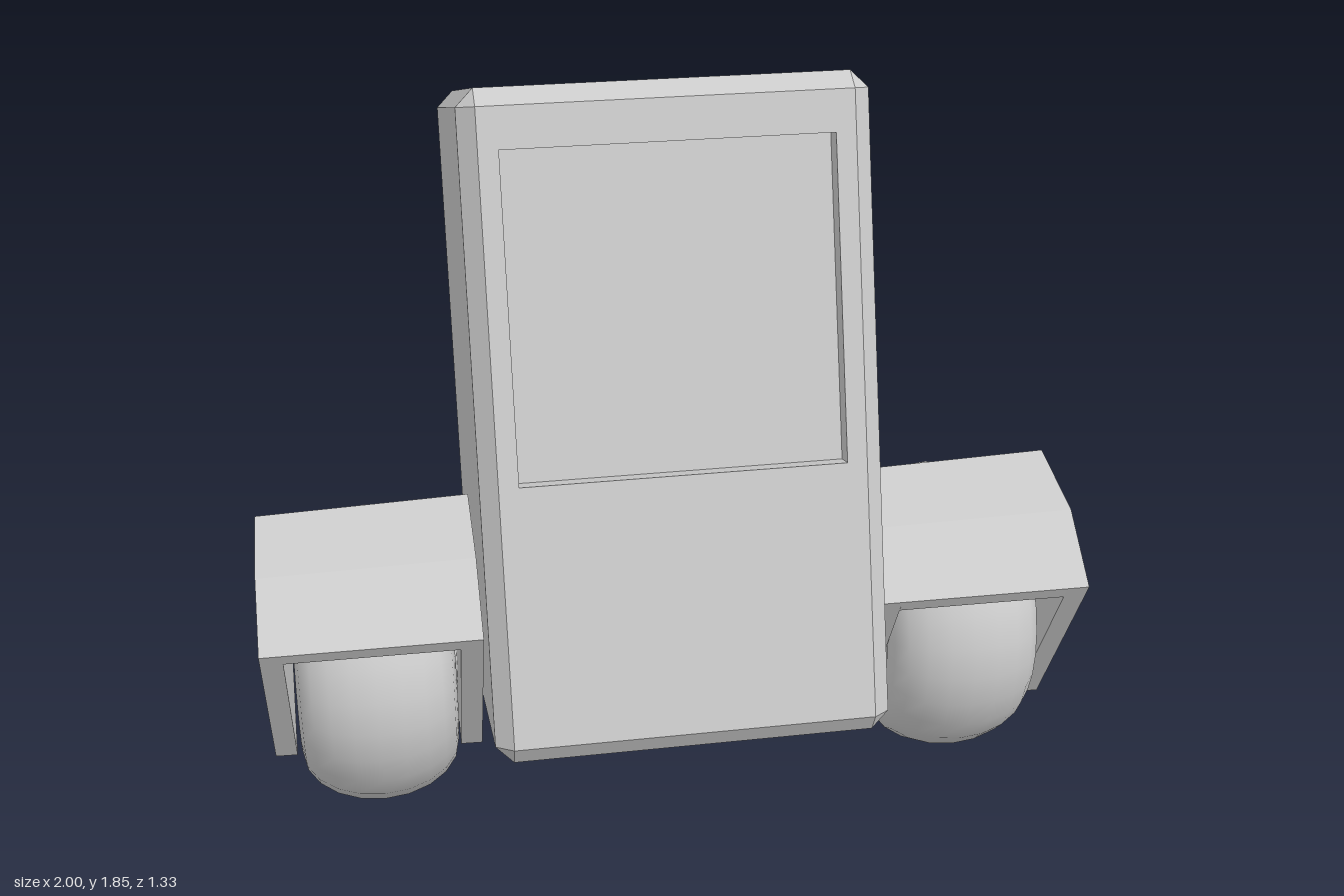
import * as THREE from 'three';

const grey = () => new THREE.MeshStandardMaterial({ color: 0xcccccc });

function addMesh(parent, name, geometry) {
  const mesh = new THREE.Mesh(geometry, grey());
  mesh.name = name;
  parent.add(mesh);
  return mesh;
}

// Rectangle ring with cut corners, counter-clockwise seen from the front
function ring(w, h, cut, z, y = 0) {
  const a = w - cut, b = h - cut;
  return [[w, b], [a, h], [-a, h], [-w, b], [-w, -b], [-a, -h], [a, -h], [w, -b]]
    .map(([px, py]) => new THREE.Vector3(px, py + y, z));
}

// Faceted skin over successive rings, skipping collapsed triangles
function loft(rings) {
  const points = [];
  const tri = (a, b, c) => {
    const area = b.clone().sub(a).cross(c.clone().sub(a)).length();
    if (area > 1e-8) points.push(a, b, c);
  };
  for (let i = 0; i < rings.length - 1; i++) {
    for (let j = 0; j < 8; j++) {
      const k = (j + 1) % 8;
      const a = rings[i][j], b = rings[i][k], c = rings[i + 1][k], d = rings[i + 1][j];
      tri(a, b, c);
      tri(a, c, d);
    }
  }
  const geometry = new THREE.BufferGeometry().setFromPoints(points);
  geometry.computeVertexNormals();
  return geometry;
}

// Chamfered box with a recessed screen in its front face
function bodyGeometry() {
  const w = 0.465, h = 0.769, d = 0.466, c = 0.041;
  const sw = 0.3775, sh = 0.3755, sy = 0.2565, depth = 0.053;
  return loft([
    ring(0, 0, 0, -d),
    ring(w - c, h - c, 0, -d),
    ring(w, h, c, -d + c),
    ring(w, h, c, d - c),
    ring(w - c, h - c, 0, d),
    ring(sw, sh, 0, d, sy),
    ring(sw, sh, 0, d - depth, sy),
    ring(0, 0, 0, d - depth, sy),
  ]);
}

// Tyre: oval cross-section turned about the axle
function tyreGeometry() {
  const profile = [];
  for (let i = 0; i <= 20; i++) {
    const t = -Math.PI + (i / 20) * Math.PI * 2;
    profile.push(new THREE.Vector2(0.243 + 0.127 * Math.cos(t), 0.1925 * Math.sin(t)));
  }
  return new THREE.LatheGeometry(profile, 28).rotateZ(Math.PI / 2);
}

// Fender slab: a (z, y) outline from x0 to x1, narrowing slightly towards -x
function slab(outline, x0, x1) {
  const shape = new THREE.Shape(outline.map(([z, y]) => new THREE.Vector2(z, y)));
  const geometry = new THREE.ExtrudeGeometry(shape, { depth: x1 - x0, bevelEnabled: false })
    .rotateY(-Math.PI / 2).translate(x1, 0, 0);
  const p = geometry.attributes.position;
  for (let i = 0; i < p.count; i++) {
    const s = 1 - 0.045 * (0.26 - p.getX(i)) / 0.52;
    p.setY(i, 0.455 + (p.getY(i) - 0.455) * s);
    p.setZ(i, 0.14 + (p.getZ(i) - 0.14) * s);
  }
  geometry.computeVertexNormals();
  return geometry;
}

function makeFender() {
  const fender = new THREE.Group();
  const roofLine = [[0.455, 0.61], [0.29, 0.735], [0.055, 0.78]];
  const plate = [...roofLine, [-0.18, 0.365], [0.185, 0.125]];
  const under = roofLine.map(([z, y]) => [z - 0.019, y - 0.035]).reverse();
  addMesh(fender, 'fenderRoof', slab([...roofLine, ...under], -0.206, 0.206));
  addMesh(fender, 'fenderRightPlate', slab(plate, -0.26, -0.206));
  addMesh(fender, 'fenderLeftPlate', slab(plate, 0.206, 0.26));
  return fender;
}

export function createModel() {
  const model = new THREE.Group();
  model.name = 'wheeledRobot';

  // Body leaning back
  const body = addMesh(model, 'body', bodyGeometry());
  body.rotation.x = -0.312;
  body.position.set(-0.01, 0.99, 0);

  // Axle through both wheels
  const axle = addMesh(model, 'axle',
    new THREE.CylinderGeometry(0.1, 0.1, 1.46, 24).rotateZ(Math.PI / 2));
  axle.position.set(-0.005, 0.373, 0.095);

  // Wheels and their fenders
  for (const [side, wheelX, fenderX] of [['left', 0.725, 0.737], ['right', -0.735, -0.74]]) {
    const wheel = addMesh(model, side + 'Wheel', tyreGeometry());
    wheel.position.set(wheelX, 0.373, 0.095);
    const fender = makeFender();
    fender.name = side + 'Fender';
    fender.position.x = fenderX;
    model.add(fender);
  }
  return model;
}
